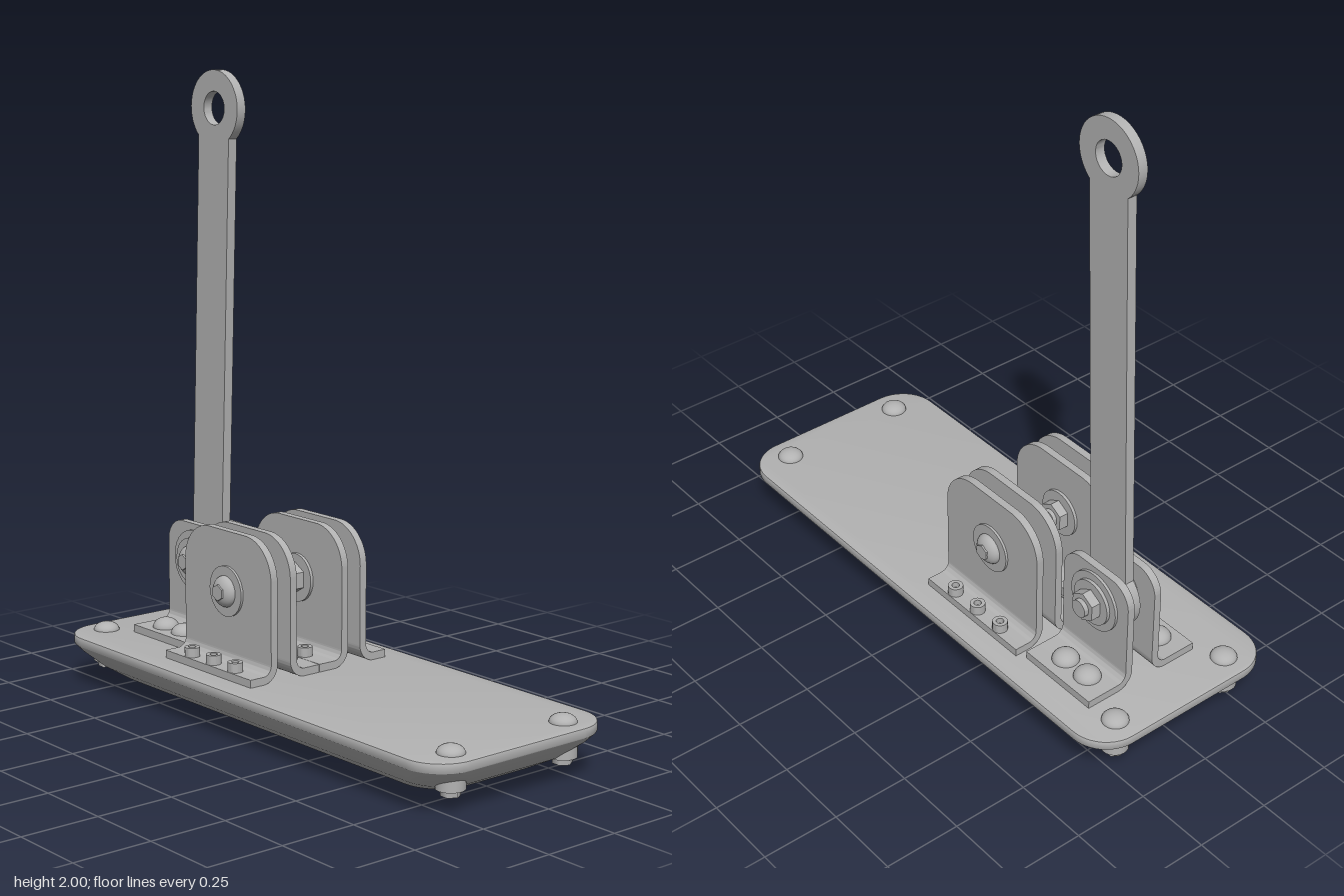
import * as THREE from 'three';
import { toCreasedNormals } from 'three/addons/utils/BufferGeometryUtils.js';

const steel = new THREE.MeshStandardMaterial({ color: 0xb2b2b2 });
steel.name = 'steel grey';

const AXLE_Y = 0.415, DECK = 0.168, T = 0.025;

function add(parent, name, geo, x = 0, y = 0, z = 0) {
  const m = new THREE.Mesh(geo, steel);
  m.name = name;
  m.position.set(x, y, z);
  parent.add(m);
  return m;
}

const crease = (g) => toCreasedNormals(g, 0.6);

// outline of a rounded rectangle as a closed ring of points
function ring(hx, hz, r, n = 10) {
  const pts = [];
  [[1, 1], [-1, 1], [-1, -1], [1, -1]].forEach(([sx, sz], q) => {
    for (let i = 0; i <= n; i++) {
      const a = (q + i / n) * Math.PI / 2;
      pts.push(new THREE.Vector2(sx * (hx - r) + r * Math.cos(a), sz * (hz - r) + r * Math.sin(a)));
    }
  });
  return pts;
}

// curved underside, swept through shrinking rings
function hullGeometry(rows) {
  const pos = [], idx = [];
  let n = 0;
  rows.forEach(([y, hx, hz]) => {
    const pts = ring(hx, hz, 0.12);
    n = pts.length;
    pts.forEach((p) => pos.push(p.x, y, p.y));
  });
  for (let k = 0; k < rows.length - 1; k++) {
    for (let i = 0; i < n; i++) {
      const j = (i + 1) % n, up = k * n, low = up + n;
      idx.push(low + i, up + i, up + j, low + i, up + j, low + j);
    }
  }
  const g = new THREE.BufferGeometry();
  g.setAttribute('position', new THREE.Float32BufferAttribute(pos, 3));
  g.setIndex(idx);
  g.computeVertexNormals();
  return g;
}

// extrude a shape drawn in (-z, y) along +x
function sideExtrude(shape, depth) {
  return new THREE.ExtrudeGeometry(shape, { depth, bevelEnabled: false, curveSegments: 20 });
}

// cylinder lying along x from x0 to x1
function rod(parent, name, r, x0, x1, z, seg = 28) {
  const g = new THREE.CylinderGeometry(r, r, x1 - x0, seg).rotateZ(-Math.PI / 2);
  if (seg === 6) g.rotateX(Math.PI / 6);
  return add(parent, name, crease(g), (x0 + x1) / 2, AXLE_Y, z);
}

function dome(r, h) {
  return new THREE.SphereGeometry(r, 24, 8, 0, Math.PI * 2, 0, Math.PI / 2).scale(1, h / r, 1);
}

// angle bracket: upright plate on x = 0..T, foot reaching out to +x
function angleBracket(name, width, height, corner, reach, holeR) {
  const g = new THREE.Group();
  g.name = name;
  const hw = width / 2, y0 = 0.055;
  const s = new THREE.Shape();
  s.moveTo(-hw, y0);
  s.lineTo(hw, y0);
  s.lineTo(hw, height - corner);
  s.absarc(hw - corner, height - corner, corner, 0, Math.PI / 2);
  s.absarc(-hw + corner, height - corner, corner, Math.PI / 2, Math.PI);
  s.closePath();
  const hole = new THREE.Path();
  hole.absarc(0, AXLE_Y - DECK, holeR, 0, Math.PI * 2, true);
  s.holes.push(hole);
  add(g, 'uprightPlate', crease(sideExtrude(s, T).rotateY(Math.PI / 2)));
  // bend and foot
  const f = new THREE.Shape();
  f.moveTo(T, y0);
  f.lineTo(0, y0);
  f.absarc(y0, y0, y0, Math.PI, Math.PI * 1.5);
  f.lineTo(reach, 0);
  f.lineTo(reach, T);
  f.absarc(y0, y0, y0 - T, Math.PI * 1.5, Math.PI, true);
  add(g, 'foot', crease(sideExtrude(f, width)), 0, 0, -hw);
  return g;
}

export function createModel() {
  const model = new THREE.Group();
  model.name = 'leverBase';

  // base
  const base = new THREE.Group();
  base.name = 'base';
  model.add(base);
  const deck = new THREE.ExtrudeGeometry(new THREE.Shape(ring(0.345, 0.915, 0.12)), {
    depth: 0.022, bevelEnabled: true, bevelThickness: 0.005, bevelSize: 0.005, bevelSegments: 2,
  }).rotateX(-Math.PI / 2);
  add(base, 'deckPlate', crease(deck), 0, DECK - 0.027, 0);
  add(base, 'hull', hullGeometry([
    [0.138, 0.348, 0.918], [0.115, 0.33, 0.9], [0.07, 0.285, 0.85],
    [0.035, 0.235, 0.785], [0.016, 0.185, 0.72], [0.008, 0.13, 0.65],
  ]));
  add(base, 'hullBottom', new THREE.ShapeGeometry(new THREE.Shape(ring(0.13, 0.65, 0.12))).rotateX(Math.PI / 2), 0, 0.008, 0);
  for (const z of [-0.6, -0.2, 0.2, 0.6]) add(base, 'bottomPad', new THREE.BoxGeometry(0.19, 0.01, 0.19), 0, 0.005, z);

  // corner bolts with nuts underneath
  for (const x of [-0.22, 0.22]) for (const z of [-0.835, 0.835]) {
    add(base, 'cornerBoltHead', dome(0.042, 0.026), x, DECK, z);
    add(base, 'cornerWasher', crease(new THREE.CylinderGeometry(0.044, 0.044, 0.05, 24)), x, 0.09, z);
    add(base, 'cornerNut', new THREE.CylinderGeometry(0.03, 0.03, 0.03, 6).toNonIndexed(), x, 0.06, z);
  }

  // paired front brackets, mirrored about x = 0
  const FZ = -0.217, RZ = -0.605;
  const screw = crease(new THREE.LatheGeometry([[0.024, 0], [0.024, 0.03], [0.012, 0.03], [0.012, 0.012], [0, 0.012]]
    .map(([x, y]) => new THREE.Vector2(x, y)), 20));
  for (const side of [-1, 1]) {
    const outer = angleBracket('frontOuterBracket', 0.435, 0.437, 0.125, 0.105, 0.03);
    outer.position.set(side * 0.165, DECK, FZ);
    if (side < 0) outer.rotation.y = Math.PI;
    const inner = angleBracket('frontInnerBracket', 0.435, 0.437, 0.125, 0.114, 0.03);
    inner.position.set(side * 0.115, DECK, FZ);
    if (side > 0) inner.rotation.y = Math.PI;
    model.add(outer, inner);
    for (const x of [0.03, 0.245]) for (const dz of [-0.11, 0, 0.11]) {
      add(model, 'footScrew', screw, side * x, DECK + T, FZ + dz);
    }
    // axle hardware
    const axle = new THREE.Group();
    axle.name = 'frontAxle';
    rod(axle, 'axleShaft', 0.029, 0.035, 0.2, FZ);
    rod(axle, 'spacerTube', 0.052, 0.115, 0.165, FZ);
    rod(axle, 'outerWasher', 0.08, 0.19, 0.198, FZ);
    rod(axle, 'innerWasher', 0.078, 0.08, 0.09, FZ);
    rod(axle, 'axleNut', 0.05, 0.048, 0.08, FZ, 6);
    add(axle, 'axleHead', dome(0.05, 0.03).rotateZ(-Math.PI / 2), 0.198, AXLE_Y, FZ);
    rod(axle, 'axleHeadHex', 0.026, 0.2, 0.23, FZ, 6);
    if (side < 0) axle.children.forEach((m) => {
      m.position.x *= -1;
      m.rotation.y = Math.PI;
    });
    model.add(axle);
  }

  // rear bracket pair holding the lever
  const right = angleBracket('rearBracket', 0.29, 0.367, 0.075, 0.17, 0.03);
  right.position.set(0.08, DECK, RZ);
  const left = angleBracket('rearBracket', 0.29, 0.367, 0.075, 0.17, 0.03);
  left.position.set(0, DECK, RZ);
  left.rotation.y = Math.PI;
  model.add(right, left);
  for (const x of [-0.105, 0.178]) for (const z of [-0.66, -0.56]) {
    add(model, 'rearFootBolt', dome(0.043, 0.032), x, DECK + T, z);
  }

  // rear pivot hardware
  const pivot = new THREE.Group();
  pivot.name = 'rearPivot';
  model.add(pivot);
  rod(pivot, 'pivotShaft', 0.029, -0.05, 0.172, RZ);
  for (const [x0, x1] of [[0, 0.024], [0.056, 0.08]]) rod(pivot, 'pivotSpacer', 0.075, x0, x1, RZ);
  for (const [x0, x1] of [[-0.034, -0.025], [0.105, 0.114]]) rod(pivot, 'wideWasher', 0.1, x0, x1, RZ);
  for (const [x0, x1] of [[-0.045, -0.034], [0.114, 0.125]]) rod(pivot, 'smallWasher', 0.075, x0, x1, RZ);
  rod(pivot, 'pivotNut', 0.05, 0.125, 0.157, RZ, 6);
  add(pivot, 'pivotHead', dome(0.05, 0.03).rotateZ(Math.PI / 2), -0.045, AXLE_Y, RZ);
  rod(pivot, 'pivotHeadHex', 0.026, -0.078, -0.05, RZ, 6);

  // lever: round foot, straight shank, ring eye
  const L = 1.466, hw = 0.078, r0 = 0.11, r1 = 0.12;
  const a0 = Math.acos(hw / r0), a1 = Math.acos(hw / r1);
  const s = new THREE.Shape();
  s.absarc(0, 0, r0, Math.PI - a0, Math.PI * 2 + a0);
  s.absarc(0, L, r1, -a1, Math.PI + a1);
  s.closePath();
  const eye = new THREE.Path();
  eye.absarc(0, L, 0.053, 0, Math.PI * 2, true);
  s.holes.push(eye);
  const lever = sideExtrude(s, 0.032).rotateZ(0.038).rotateY(Math.PI / 2);
  add(model, 'lever', crease(lever), 0.024, AXLE_Y, RZ);

  return model;
}
